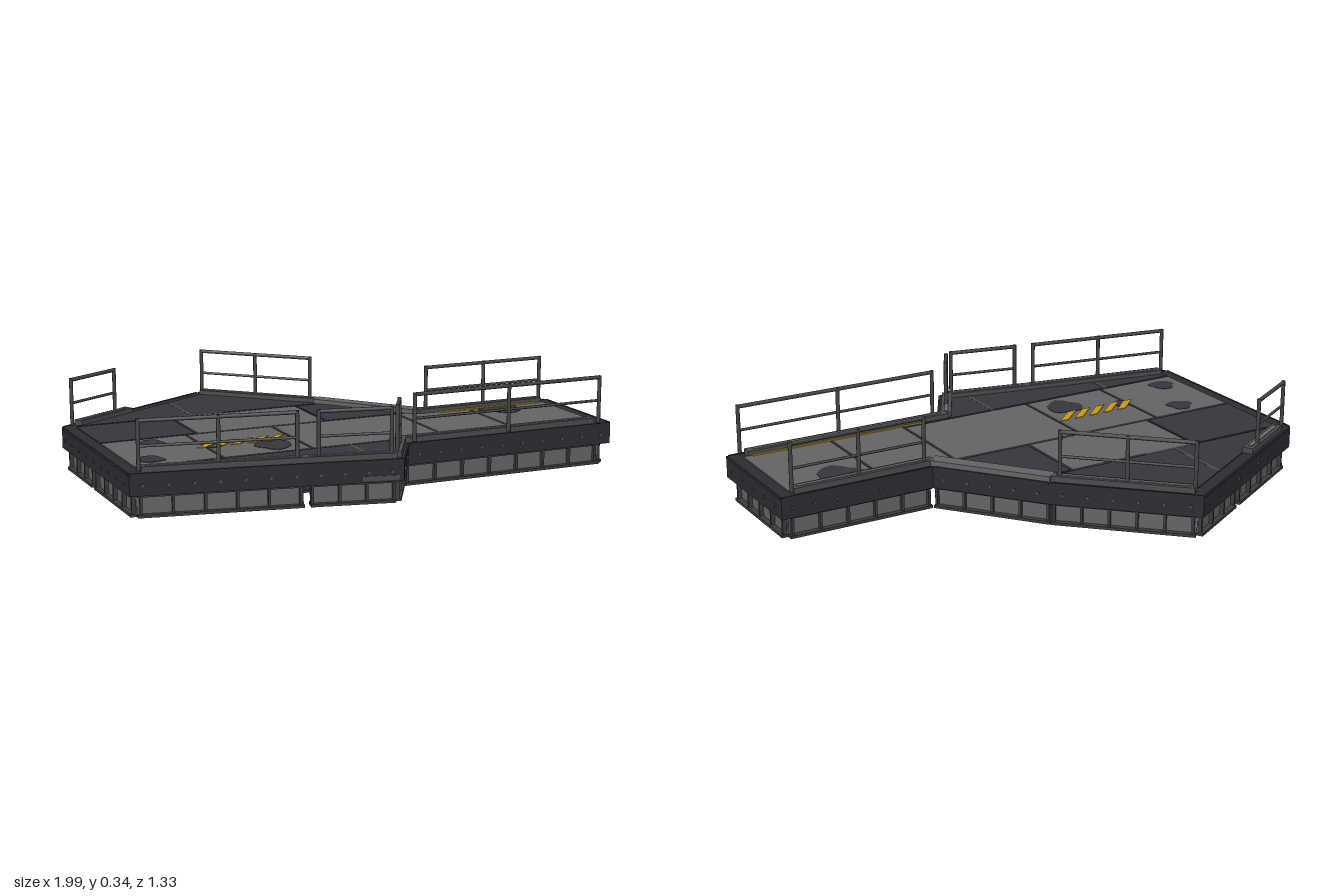
import * as THREE from 'three';

const mat = (name, color, side = THREE.FrontSide) =>
  Object.assign(new THREE.MeshStandardMaterial({ color, side }), { name });
const M = {
  band: mat('charcoal band', 0x2c2b31),
  dark: mat('dark plate', 0x37353c),
  grey: mat('grey plate', 0x636363),
  curb: mat('curb steel', 0x4a4b4a),
  worn: mat('worn steel', 0x6e6e6e),
  frame: mat('frame steel', 0x3a3b3a),
  rail: mat('rail steel', 0x414544),
  yellow: mat('safety yellow', 0xc99a10),
  black: mat('underside black', 0x18181a),
};

// Platform outline [x, z], starting at the back corner
const A = [-0.61, -0.665], B = [-0.11, -0.54], C = [0.28, -0.385], D = [0.765, -0.665],
  E = [0.995, -0.27], F = [0.275, 0.14], G = [0.275, 0.365], H = [-0.04, 0.465],
  I = [-0.61, 0.665], J = [-0.995, 0];
const OUT = [A, B, C, D, E, F, G, H, I, J];

// Deck grid: u runs along the arm, n across it
const c = Math.cos(Math.PI / 6), s = 0.5;
const toUN = ([x, z]) => [c * x - s * z, s * x + c * z];
const toXZ = ([u, n]) => [c * u + s * n, -s * u + c * n];
const lerp = (p, q, t) => [p[0] + (q[0] - p[0]) * t, p[1] + (q[1] - p[1]) * t];
const dist = (p, q) => Math.hypot(q[0] - p[0], q[1] - p[1]);
const inward = (p, q) => { const l = dist(p, q); return [-(q[1] - p[1]) / l, (q[0] - p[0]) / l]; };

// Mitred inset of the outline
function inset(d) {
  return OUT.map((p, i) => {
    const a = inward(OUT[(i + 9) % 10], p), b = inward(p, OUT[(i + 1) % 10]);
    const k = d / (1 + a[0] * b[0] + a[1] * b[1]);
    return [p[0] + (a[0] + b[0]) * k, p[1] + (a[1] + b[1]) * k];
  });
}

// Part of a polygon inside a rectangle of the deck grid
function clip(poly, u0, u1, n0, n1) {
  let pts = poly.map(toUN);
  for (const [ax, lim, sg] of [[0, u0, 1], [0, u1, -1], [1, n0, 1], [1, n1, -1]]) {
    const next = [];
    pts.forEach((p, i) => {
      const q = pts[(i + 1) % pts.length];
      const dp = (p[ax] - lim) * sg, dq = (q[ax] - lim) * sg;
      if (dp >= 0) next.push(p);
      if (dp * dq < 0) next.push(lerp(p, q, dp / (dp - dq)));
    });
    pts = next;
  }
  return pts.map(toXZ);
}

export function createModel() {
  const root = new THREE.Group();
  root.name = 'platform';
  const group = (name, parent = root) => {
    const g = new THREE.Group();
    g.name = name;
    parent.add(g);
    return g;
  };
  const add = (parent, name, geo, m) => {
    const mesh = new THREE.Mesh(geo, m);
    mesh.name = name;
    parent.add(mesh);
    return mesh;
  };
  // Flat polygon raised from y0 to y1
  const prism = (parent, name, poly, y0, y1, m) => {
    if (poly.length < 3) return;
    const shape = new THREE.Shape(poly.map(([x, z]) => new THREE.Vector2(x, -z)));
    const geo = new THREE.ExtrudeGeometry(shape, { depth: y1 - y0, bevelEnabled: false });
    add(parent, name, geo.rotateX(-Math.PI / 2).translate(0, y0, 0), m);
  };
  // Box running from p to q
  const bar = (parent, name, p, q, w, y0, y1, m) => {
    const mesh = add(parent, name, new THREE.BoxGeometry(dist(p, q), y1 - y0, w), m);
    mesh.position.set((p[0] + q[0]) / 2, (y0 + y1) / 2, (p[1] + q[1]) / 2);
    mesh.rotation.y = -Math.atan2(q[1] - p[1], q[0] - p[0]);
  };
  const tube = (parent, name, a, b, r) => {
    const d = b.clone().sub(a);
    const mesh = add(parent, name, new THREE.CylinderGeometry(r, r, d.length(), 8), M.rail);
    mesh.position.copy(a).add(b).multiplyScalar(0.5);
    mesh.quaternion.setFromUnitVectors(new THREE.Vector3(0, 1, 0), d.normalize());
  };

  // Main slab and underside
  prism(root, 'deckSlab', OUT, 0.078, 0.155, M.band);
  prism(root, 'soffit', inset(0.04), 0.07, 0.079, M.black);
  const beams = group('floorBeams');
  for (const n of [-0.54, -0.19, 0.215]) {
    prism(beams, 'beamWeb', clip(inset(0.045), -2, 2, n - 0.006, n + 0.006), 0.02, 0.071, M.frame);
    prism(beams, 'beamFlange', clip(inset(0.045), -2, 2, n - 0.016, n + 0.016), 0.012, 0.021, M.frame);
  }

  // Deck plates with seams: [u0, u1, n0, n1, material]
  const deck = group('deckPlates');
  const inner = inset(0.045), { grey, dark } = M;
  const plates = [
    [-2, -0.5, -0.18, 0.2, grey], [-0.5, -0.17, -0.18, 0.2, grey], [-0.17, 0.34, -0.18, 0.2, grey],
    [0.34, 0.625, -0.18, 0.25, grey], [0.625, 2, -0.18, 0.25, grey],
    [-2, -0.455, -0.47, -0.18, dark], [-0.455, 0.05, -0.47, -0.18, grey], [0.05, 0.38, -0.47, -0.18, dark],
    [-2, -0.37, -2, -0.47, dark], [-0.37, 2, -2, -0.47, dark],
    [-2, -0.53, 0.2, 2, dark], [-0.53, -0.03, 0.2, 2, dark], [-0.03, 0.34, 0.2, 2, dark],
  ];
  const gap = 0.005;
  for (const [u0, u1, n0, n1, m] of plates)
    prism(deck, 'deckPlate', clip(inner, u0 + gap, u1 - gap, n0 + gap, n1 - gap), 0.154, 0.159, m);
  for (const [u, n0, n1] of [[-0.37, -0.76, -0.47], [-0.53, 0.2, 0.5], [-0.03, 0.2, 0.5]])
    prism(deck, 'wornSeam', clip(inner, u - 0.006, u + 0.006, n0, n1), 0.154, 0.1595, M.curb);
  prism(deck, 'wornSeam', clip(inner, -0.45, -0.25, -0.476, -0.466), 0.154, 0.1595, M.curb);

  // Painted markings and stains
  const paint = group('deckMarkings');
  for (let i = 0; i < 5; i++) {
    const u = -0.535 + i * 0.062;
    const stripe = [[u, 0.035], [u + 0.034, 0.035], [u + 0.11, -0.035], [u + 0.076, -0.035]];
    prism(paint, 'hazardStripe', stripe.map(toXZ), 0.159, 0.1615, M.yellow);
  }
  for (const [u0, u1, n] of [[0.25, 0.92, 0.212], [0.5, 0.925, -0.139]])
    prism(paint, 'edgeStripe', [[u0, n - 0.006], [u1, n - 0.006], [u1, n + 0.006], [u0, n + 0.006]].map(toXZ),
      0.158, 0.1625, M.yellow);
  for (const [x, z, r] of [[-0.62, 0.235, 0.046], [-0.575, 0.47, 0.046], [-0.19, 0.22, 0.066],
    [-0.4, 0.255, 0.032], [0.59, -0.46, 0.08]]) {
    const blob = Array.from({ length: 16 }, (_, i) => {
      const a = i * Math.PI / 8, k = r * (1 + 0.12 * Math.sin(3 * a + x * 9) + 0.07 * Math.cos(5 * a));
      return [x + k * Math.cos(a), z + k * Math.sin(a)];
    });
    prism(paint, 'stain', blob, 0.158, 0.1605, M.dark);
  }

  // Lower skirt: recessed walls, ribs and foot flange; bolts on the band
  const skirt = group('skirt'), bolts = group('bandBolts');
  const wallLine = inset(0.035), footLine = inset(0.034);
  OUT.forEach((p, i) => {
    const j = (i + 1) % 10, q = OUT[j], len = dist(p, q), nrm = inward(p, q);
    const open = (v) => (v === C || v === F || v === H ? 0.012 / len : 0);
    const start = open(p), end = 1 - open(q);
    const spans = p === I || p === J ? [[start, 0.56], [0.6, end]] : [[start, end]];
    for (const [t0, t1] of spans) {
      const at = (line, t) => lerp(line[i], line[j], t);
      bar(skirt, 'skirtWall', at(wallLine, t0), at(wallLine, t1), 0.008, 0.008, 0.08, M.grey);
      bar(skirt, 'footFlange', at(footLine, t0), at(footLine, t1), 0.045, 0, 0.01, M.frame);
      bar(skirt, 'topFlange', at(footLine, t0), at(footLine, t1), 0.04, 0.07, 0.079, M.frame);
      const span = (t1 - t0) * len, count = Math.max(1, Math.round(span / 0.11));
      for (let k = 0; k <= count; k++) {
        const r = at(wallLine, t0 + (t1 - t0) * (0.02 + 0.96 * k / count));
        bar(skirt, 'rib', r, [r[0] - nrm[0] * 0.018, r[1] - nrm[1] * 0.018], 0.009, 0.008, 0.08, M.frame);
      }
    }
    const count = Math.round(len / 0.085);
    for (let k = 0; k < count; k++) {
      const b = lerp(p, q, (k + 0.5) / count);
      const bolt = add(bolts, 'bolt', new THREE.CylinderGeometry(0.006, 0.006, 0.008, 6), M.curb);
      bolt.position.set(b[0], 0.114, b[1]);
      bolt.quaternion.setFromUnitVectors(new THREE.Vector3(0, 1, 0), new THREE.Vector3(-nrm[0], 0, -nrm[1]));
    }
    bar(root, 'bandLip', lerp(p, q, 0.01), lerp(p, q, 0.99), 0.006, 0.148, 0.157, M.band);
  });

  // Scuffed patches on the band
  const scuffs = group('bandScuffs');
  for (const [p, q, t0, t1, y0, y1] of [[F, G, 0.15, 0.85, 0.082, 0.1], [F, G, 0.3, 0.95, 0.13, 0.145],
    [G, H, 0.05, 0.45, 0.084, 0.1]])
    bar(scuffs, 'scuff', lerp(p, q, t0), lerp(p, q, t1), 0.004, y0, y1, M.curb);

  // Curbs along the guarded edges: [edge index, t0, t1]
  const curbs = group('curbs'), curbLine = inset(0.03);
  for (const [i, t0, t1] of [[0, 0.02, 1], [1, 0, 1], [2, 0, 0.96], [4, 0.04, 1], [5, 0, 1],
    [6, 0, 1], [7, 0, 0.97], [9, 0.05, 0.43]]) {
    const at = (t) => lerp(curbLine[i], curbLine[(i + 1) % 10], t);
    const wide = i === 1;
    bar(curbs, 'curb', at(t0), at(t1), wide ? 0.052 : 0.038, 0.154, 0.175, wide ? M.grey : M.curb);
    if (!wide) bar(curbs, 'curbCap', at(t0 + 0.03), at(t1 - 0.03), 0.014, 0.174, 0.178, M.worn);
  }

  // Guard rails: [start, end, post positions]
  const rails = [
    [[-0.585, -0.63], [-0.145, -0.52], [0, 0.5, 1]],
    [[0.31, -0.375], [0.735, -0.62], [0, 0.5, 1]],
    [[0.95, -0.25], [0.295, 0.122], [0, 0.5, 1]],
    [[0.247, 0.21], [0.247, 0.325], [0, 1]],
    [[0.23, 0.352], [-0.01, 0.43], [0, 1]],
    [[-0.08, 0.453], [-0.585, 0.63], [0, 0.5, 1]],
    [[-0.96, -0.015], [-0.845, -0.215], [0, 1]],
  ];
  for (const [p, q, posts] of rails) {
    const g = group('guardRail');
    const at = (t, y) => { const [x, z] = lerp(p, q, t); return new THREE.Vector3(x, y, z); };
    tube(g, 'topRail', at(0, 0.328), at(1, 0.328), 0.007);
    tube(g, 'midRail', at(0, 0.242), at(1, 0.242), 0.005);
    for (const t of posts) tube(g, 'post', at(t, 0.16), at(t, 0.334), 0.007);
  }
  return root;
}
